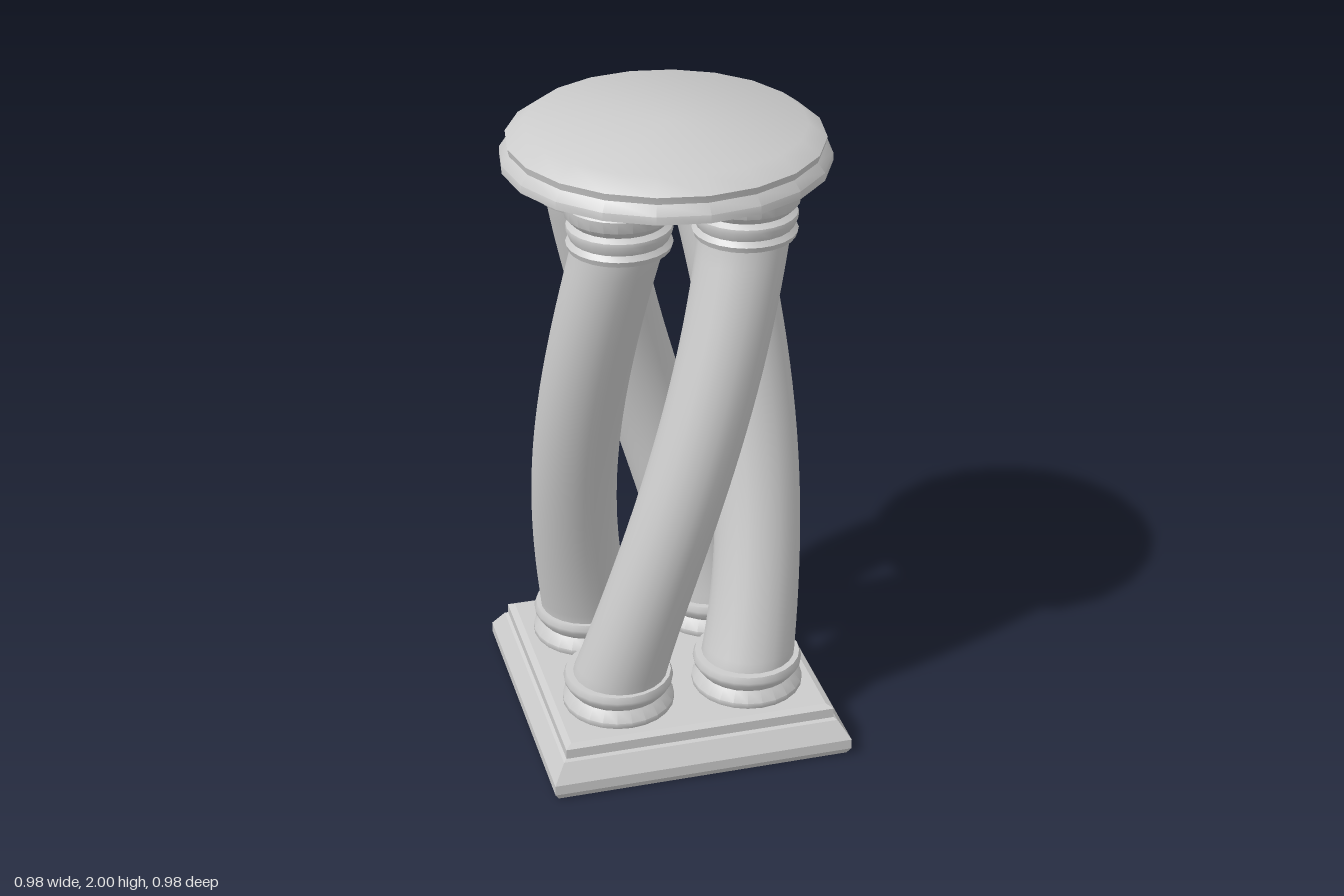
import * as THREE from 'three';
import { toCreasedNormals } from 'three/addons/utils/BufferGeometryUtils.js';

const material = new THREE.MeshStandardMaterial({ color: 0xcccccc });

function addMesh(parent, name, geometry, crease = 0.7) {
  const mesh = new THREE.Mesh(toCreasedNormals(geometry, crease), material);
  mesh.name = name;
  parent.add(mesh);
  return mesh;
}

// Turned solid from [radius, height] pairs, bottom to top
function turned(profile, sides, scale = 1, start = 0) {
  const points = profile.map(([r, y]) => new THREE.Vector2(r * scale, y));
  return new THREE.LatheGeometry(points, sides, start);
}

const FOOT_Y = 0.25, HEAD_Y = 1.73;
const FOOT_R = 0.297, HEAD_R = 0.266; // distance of column centres from the axis

// Centre of the first column at height y: a quarter turn from foot to head
function columnCentre(y) {
  const t = THREE.MathUtils.clamp((y - FOOT_Y) / (HEAD_Y - FOOT_Y), 0, 1);
  const angle = (t - 0.5) * Math.PI / 2;
  const r = THREE.MathUtils.lerp(FOOT_R, HEAD_R, t);
  return { t, x: r * Math.sin(angle), z: r * Math.cos(angle) };
}

// Shaft with horizontal sections that follow the twist
function twistedShaft() {
  const bottom = 0.2, top = 1.8;
  const geometry = new THREE.CylinderGeometry(1, 1, top - bottom, 24, 32, true);
  geometry.translate(0, (top + bottom) / 2, 0);
  const p = geometry.attributes.position;
  for (let i = 0; i < p.count; i++) {
    const y = p.getY(i);
    const { t, x, z } = columnCentre(y);
    const radius = 0.132 + 0.016 * (1 - t) ** 6 + 0.004 * t ** 6;
    p.setXYZ(i, x + radius * p.getX(i), y, z + radius * p.getZ(i));
  }
  return geometry;
}

export function createModel() {
  const model = new THREE.Group();
  model.name = 'twistedColumnPedestal';

  // Square moulded plinth
  addMesh(model, 'plinth', turned([
    [0, 0], [0.465, 0], [0.477, 0.022], [0.477, 0.055], [0.44, 0.112],
    [0.43, 0.118], [0.43, 0.15], [0.41, 0.16], [0, 0.16],
  ], 4, Math.SQRT2, Math.PI / 4), 0.3);

  // Round moulded top
  addMesh(model, 'topSlab', turned([
    [0, 1.875], [0.462, 1.875], [0.488, 1.886], [0.488, 1.91], [0.465, 1.938],
    [0.47, 1.96], [0.415, 2], [0, 2],
  ], 20));

  // Four columns winding round the axis
  const footProfile = [
    [0.165, 0.15], [0.175, 0.165], [0.175, 0.18], [0.15, 0.212],
    [0.17, 0.24], [0.172, 0.252], [0.165, 0.27], [0.13, 0.27],
  ];
  const headProfile = [
    [0.12, 1.708], [0.15, 1.708], [0.156, 1.725], [0.144, 1.74], [0.156, 1.768],
    [0.154, 1.78], [0.138, 1.792], [0.16, 1.815], [0.163, 1.85], [0.15, 1.865],
    [0.15, 1.88],
  ];
  const foot = columnCentre(FOOT_Y), head = columnCentre(HEAD_Y);
  for (let k = 0; k < 4; k++) {
    const column = new THREE.Group();
    column.name = `column${k + 1}`;
    column.rotation.y = k * Math.PI / 2;
    addMesh(column, 'shaft', twistedShaft());
    addMesh(column, 'columnBase', turned(footProfile, 24)).position.set(foot.x, 0, foot.z);
    addMesh(column, 'capital', turned(headProfile, 24)).position.set(head.x, 0, head.z);
    model.add(column);
  }
  return model;
}
